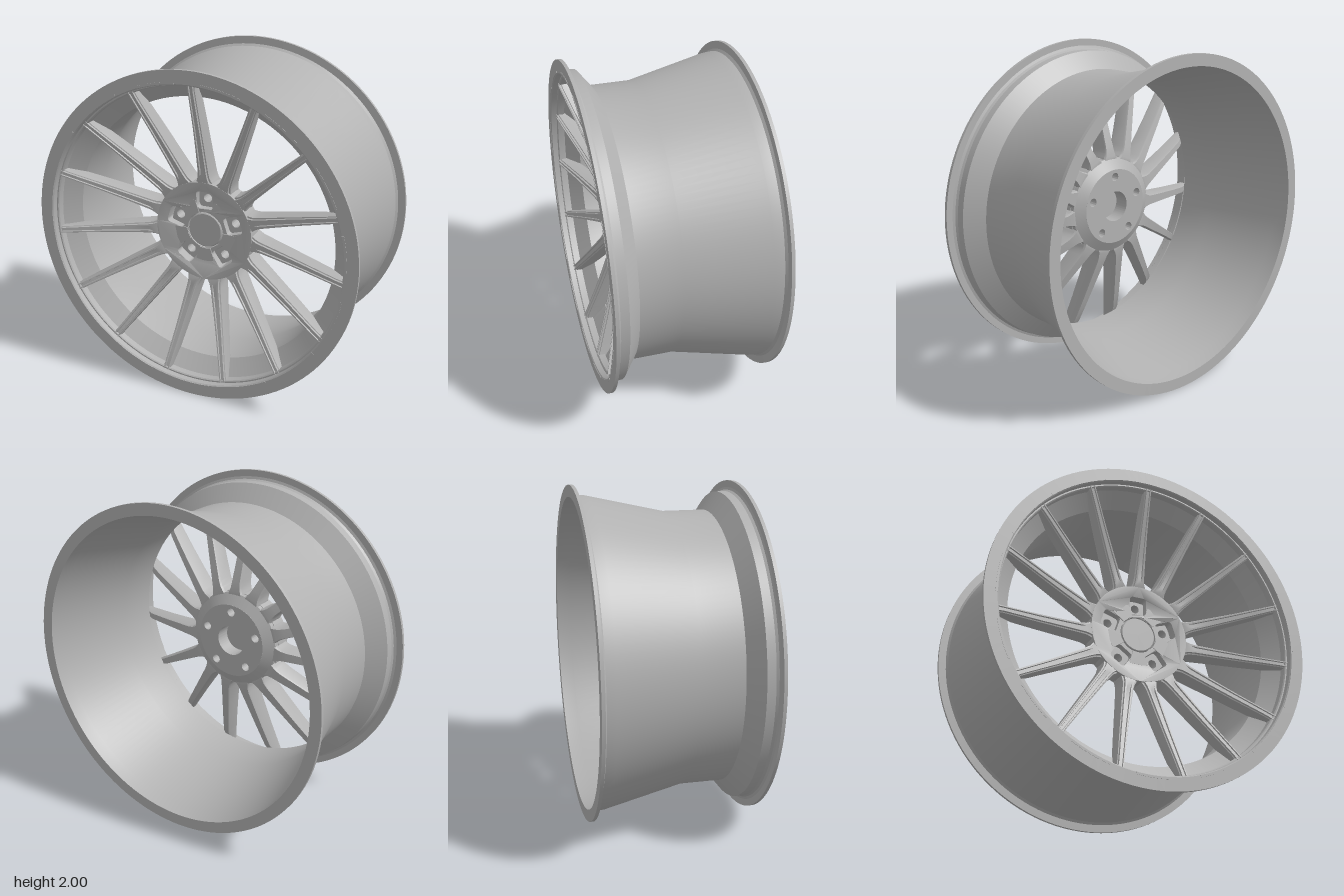
import * as THREE from 'three';
import { toCreasedNormals } from 'three/addons/utils/BufferGeometryUtils.js';

const SPOKES = 15, LUGS = 5, LUG_R = 0.188;

export function createModel() {
  const model = new THREE.Group();
  const wheel = new THREE.Group();
  wheel.name = 'wheel';
  wheel.position.y = 1;
  model.add(wheel);
  const alloy = new THREE.MeshStandardMaterial({ color: 0xb2b2b2 });
  alloy.name = 'alloy grey';

  const add = (name, geometry, crease = 0.45) => {
    const mesh = new THREE.Mesh(toCreasedNormals(geometry, crease), alloy);
    mesh.name = name;
    wheel.add(mesh);
    return mesh;
  };
  // Closed [radius, z] profile, counterclockwise, turned about the z axis
  const turn = (profile, segments = 96) => {
    const pts = [...profile, profile[0]].map(([r, z]) => new THREE.Vector2(r, z));
    return new THREE.LatheGeometry(pts, segments).rotateX(Math.PI / 2);
  };
  const extrude = (shape, z0, z1) =>
    new THREE.ExtrudeGeometry(shape, { depth: z1 - z0, bevelEnabled: false, curveSegments: 48 }).translate(0, 0, z0);
  const circle = (r, x = 0, y = 0, Type = THREE.Path) => new Type().absarc(x, y, r, 0, Math.PI * 2, false);
  const arcPlate = (r0, r1, from, to) => {
    const s = new THREE.Shape();
    s.absarc(0, 0, r1, from, to, false);
    s.absarc(0, 0, r0, to, from, true);
    return s;
  };
  const lugAngle = (i) => Math.PI / 2 + (i * Math.PI * 2) / LUGS;

  // Rim barrel with both flanges, outer skin then inner skin
  add('rimBarrel', turn([
    [0.93, -0.49], [1.0, -0.49], [1.0, -0.47], [0.955, -0.468], [0.942, -0.455], [0.937, -0.4],
    [0.83, 0.07], [0.83, 0.32], [0.935, 0.4], [0.937, 0.45], [0.945, 0.464], [0.96, 0.47],
    [1.0, 0.47], [1.0, 0.49], [0.922, 0.49], [0.916, 0.484],
    [0.916, 0.4], [0.815, 0.32], [0.815, 0.07], [0.922, -0.4],
  ], 128), 0.3);

  // Ring that ties the spoke tips together
  add('spokeRing', turn([[0.902, 0.405], [0.925, 0.405], [0.925, 0.45], [0.908, 0.45], [0.902, 0.444]]));

  // Raised lands on the front flange between the spokes
  for (let i = 0; i < SPOKES; i++) {
    const mid = Math.PI / 2 + ((i + 0.5) * Math.PI * 2) / SPOKES;
    add('flangeLand', extrude(arcPlate(0.921, 0.934, mid - 0.13, mid + 0.13), 0.488, 0.492));
  }

  // Spokes: a grooved cross-section lofted outwards, [radius, half width, front z, back z]
  const stations = [
    [0.26, 0.054, 0.284, 0.17], [0.295, 0.053, 0.297, 0.165], [0.312, 0.045, 0.302, 0.168],
    [0.335, 0.037, 0.307, 0.172], [0.37, 0.033, 0.314, 0.18], [0.5, 0.029, 0.345, 0.222],
    [0.65, 0.025, 0.383, 0.27], [0.8, 0.022, 0.425, 0.322], [0.88, 0.021, 0.447, 0.375],
    [0.92, 0.024, 0.455, 0.405],
  ];
  const positions = [], index = [];
  let n = 0;
  stations.forEach(([r, w, zf, zb], k) => {
    const groove = k < 4 ? 0 : 0.009;
    const half = [[0.85 * w, zb], [w, zb + 0.012], [w, zf - 0.014], [0.78 * w, zf - 0.012],
      [0.72 * w, zf], [0.42 * w, zf], [0.34 * w, zf - groove]];
    const loop = [...half, ...half.map(([x, z]) => [-x, z]).reverse()];
    n = loop.length;
    loop.forEach(([x, z]) => positions.push(x, r, z));
    if (k === 0) return;
    for (let j = 0; j < n; j++) {
      const a = (k - 1) * n + j, b = (k - 1) * n + ((j + 1) % n);
      index.push(a, a + n, b, b, a + n, b + n);
    }
  });
  const spoke = new THREE.BufferGeometry();
  spoke.setAttribute('position', new THREE.Float32BufferAttribute(positions, 3));
  spoke.setIndex(index);
  for (let i = 0; i < SPOKES; i++) {
    add('spoke', spoke).rotation.z = (i * Math.PI * 2) / SPOKES;
  }

  // Hub front plate with rounded square lug pockets, dished towards the centre
  const front = circle(0.305, 0, 0, THREE.Shape);
  front.holes.push(circle(0.112));
  for (let i = 0; i < LUGS; i++) {
    const a = lugAngle(i), pts = [];
    for (let q = 0; q < 4; q++) {
      for (let s = 0; s <= 4; s++) {
        const t = ((q + s / 4) * Math.PI) / 2;
        const cx = (q === 0 || q === 3 ? 1 : -1) * 0.034, cy = (q < 2 ? 1 : -1) * 0.034;
        const x = cx + 0.02 * Math.cos(t) + LUG_R, y = cy + 0.02 * Math.sin(t);
        pts.push(new THREE.Vector2(x * Math.cos(a) - y * Math.sin(a), x * Math.sin(a) + y * Math.cos(a)));
      }
    }
    front.holes.push(new THREE.Path(pts));
  }
  const frontGeo = extrude(front, 0.2, 0.275);
  const p = frontGeo.attributes.position;
  for (let i = 0; i < p.count; i++) {
    const r = Math.hypot(p.getX(i), p.getY(i));
    if (p.getZ(i) > 0.25) p.setZ(i, p.getZ(i) + Math.max(0, r - 0.2) * 0.25);
  }
  add('hubFront', frontGeo);

  // Raised arcs between the lug pockets
  for (let i = 0; i < LUGS; i++) {
    const mid = lugAngle(i + 0.5);
    add('hubStep', extrude(arcPlate(0.114, 0.195, mid - 0.3, mid + 0.3), 0.272, 0.281));
  }

  // Hub back pad with the bore and through holes for the bolts
  const back = circle(0.235, 0, 0, THREE.Shape);
  back.holes.push(circle(0.095));
  for (let i = 0; i < LUGS; i++) {
    const a = lugAngle(i);
    back.holes.push(circle(0.026, LUG_R * Math.cos(a), LUG_R * Math.sin(a)));
  }
  add('hubBack', extrude(back, 0.13, 0.235));
  add('hubBackSlope', turn([[0.234, 0.13], [0.302, 0.17], [0.302, 0.25], [0.26, 0.25]]));

  // Centre cap closing the bore from the front
  add('centreCap', turn([[0, 0.225], [0.107, 0.225], [0.107, 0.272], [0.101, 0.277], [0, 0.277]], 48));
  return model;
}
